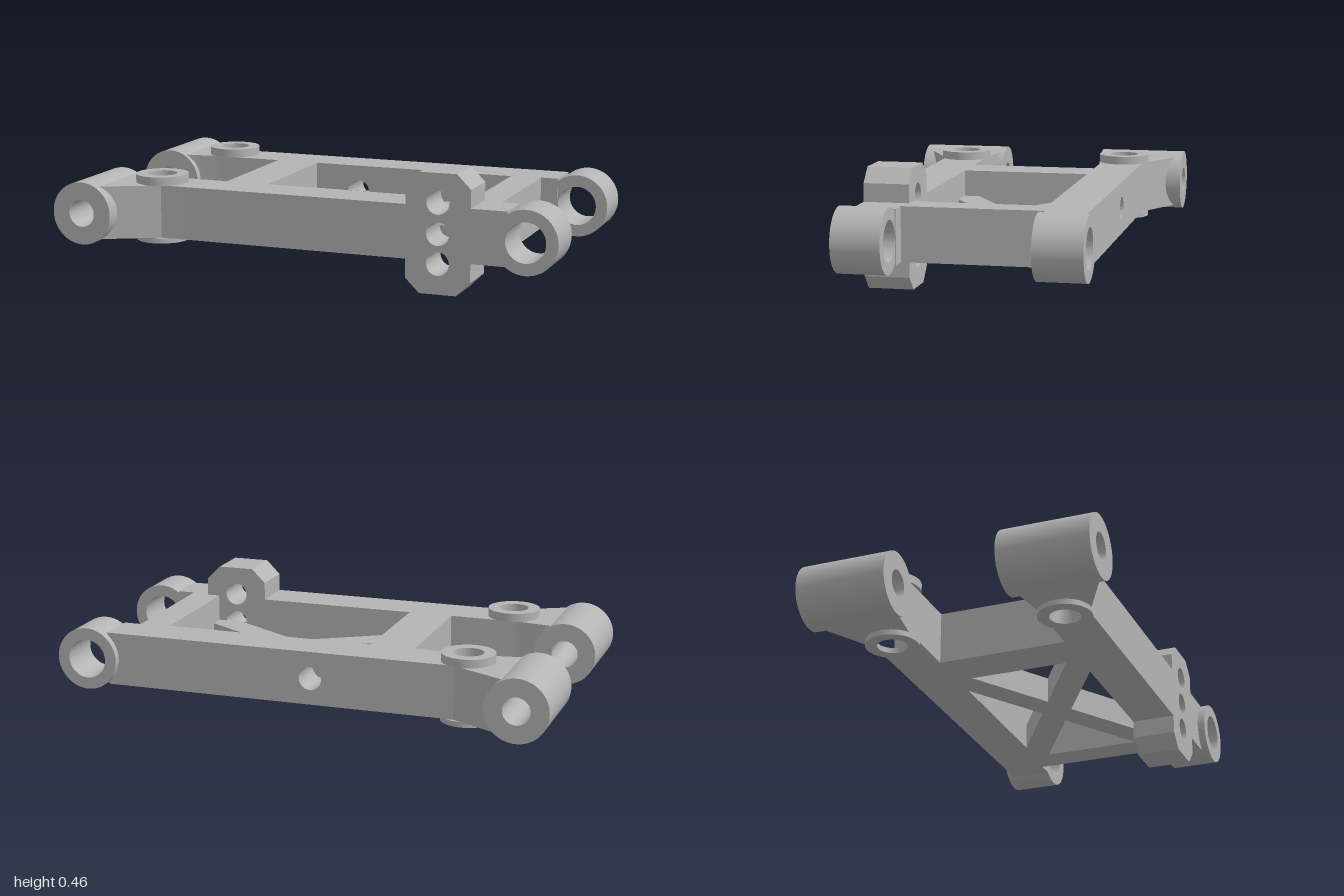
import * as THREE from 'three';
import { toCreasedNormals } from 'three/addons/utils/BufferGeometryUtils.js';

const Y0 = 0.127, Y1 = 0.335, MID = 0.23;   // beam bottom, top and axis height
const ZI = 0.255, ZO = 0.428;               // inner and outer faces of the side rails

export function createModel() {
  const group = new THREE.Group();
  const metal = new THREE.MeshStandardMaterial({ color: 0xb4b4b4 });
  metal.name = 'plain grey';

  const outline = (pts) => new THREE.Shape(pts.map(([x, y]) => new THREE.Vector2(x, y)));
  const hole = (shape, x, y, r) => {
    shape.holes.push(new THREE.Path().absarc(x, y, r, 0, Math.PI * 2, true));
    return shape;
  };
  const ring = (x, y, r, inner) =>
    hole(new THREE.Shape().absarc(x, y, r, 0, Math.PI * 2, false), x, y, inner);
  const extrude = (shape, depth) =>
    new THREE.ExtrudeGeometry(shape, { depth, bevelEnabled: false, curveSegments: 32 });
  const add = (name, geo) => {
    const mesh = new THREE.Mesh(toCreasedNormals(geo, 0.5), metal);
    mesh.name = name;
    group.add(mesh);
  };
  // shape drawn in x,y and extruded along z
  const alongZ = (name, shape, za, zb) => {
    const lo = Math.min(za, zb);
    add(name, extrude(shape, Math.abs(zb - za)).translate(0, 0, lo));
  };
  // shape drawn in x,z and extruded along y
  const alongY = (name, shape, ya, yb) =>
    add(name, extrude(shape, yb - ya).rotateX(Math.PI / 2).translate(0, yb, 0));
  const box = (name, x0, x1, z0, z1) =>
    add(name, new THREE.BoxGeometry(x1 - x0, Y1 - Y0, z1 - z0)
      .translate((x0 + x1) / 2, (Y0 + Y1) / 2, (z0 + z1) / 2));

  // front rail with its chamfered three-hole mounting block
  const frontRail = outline([
    [-0.45, Y0], [0.405, Y0], [0.405, 0.055], [0.46, 0], [0.605, 0], [0.66, 0.055],
    [0.66, Y0], [0.73, Y0], [0.73, Y1], [0.66, Y1], [0.66, 0.405], [0.605, 0.46],
    [0.46, 0.46], [0.405, 0.405], [0.405, Y1], [-0.45, Y1],
  ]);
  for (const y of [0.117, MID, 0.348]) hole(frontRail, 0.532, y, 0.045);
  alongZ('frontRailWithMount', frontRail, ZI, ZO);

  // back rail with one cross hole
  const backRail = outline([[-0.45, Y0], [0.73, Y0], [0.73, Y1], [-0.45, Y1]]);
  alongZ('backRail', hole(backRail, -0.04, MID, 0.045), -ZO, -ZI);

  // cross members joining the rails
  box('wideCrossMember', -0.4, -0.225, -ZI, ZI);
  box('narrowCrossMember', 0.61, 0.73, -ZI, ZI);

  // X brace: a plate with four triangular windows
  const brace = outline([[-0.25, -0.27], [0.635, -0.27], [0.635, 0.27], [-0.25, 0.27]]);
  const windows = [
    [[-0.225, -0.195], [-0.225, 0.195], [0.092, 0]],
    [[0.61, -0.195], [0.61, 0.195], [0.293, 0]],
    [[-0.12, -ZI], [0.505, -ZI], [0.1925, -0.062]],
    [[-0.12, ZI], [0.505, ZI], [0.1925, 0.062]],
  ];
  for (const w of windows) brace.holes.push(new THREE.Path(outline(w).getPoints()));
  // kept just inside the rails so that no rail hole is crossed
  alongY('crossBrace', brace, Y0, MID);

  for (const s of [1, -1]) {
    const side = s > 0 ? 'front' : 'back';
    const px = -0.637, pz = 0.345;

    // flared arm wrapped round the upright pin column
    const pts = [[-0.815, 0.235], [-0.68, 0.256], [-0.637, ZI], [-0.45, ZI], [-0.45, ZO], [-0.57, ZO]];
    for (let i = 0; i <= 5; i++) {
      const a = 1.2 - i * 0.015;
      pts.push([px + 0.09 * Math.cos(a), pz + 0.09 * Math.sin(a)]);
    }
    pts.push([-0.815, 0.54]);
    alongY(side + 'FlaredArm', hole(outline(pts.map(([x, z]) => [x, z * s])), px, pz * s, 0.058), Y0, Y1);

    // flanges above and below the column
    alongY(side + 'UpperFlange', ring(px, pz * s, 0.103, 0.058), Y1, 0.368);
    alongY(side + 'LowerFlange', ring(px, pz * s, 0.103, 0.058), 0.106, Y0);

    // pivot barrels at both ends
    alongZ(side + 'LongBarrel', ring(-0.877, MID, 0.123, 0.053), 0.215 * s, 0.57 * s);
    alongZ(side + 'ShortBarrel', ring(0.877, MID, 0.123, 0.077), 0.272 * s, 0.457 * s);

    // neck between rail and short barrel
    const z = [0.268 * s, ZO * s].sort((a, b) => a - b);
    box(side + 'Neck', 0.73, 0.799, z[0], z[1]);
  }
  return group;
}
